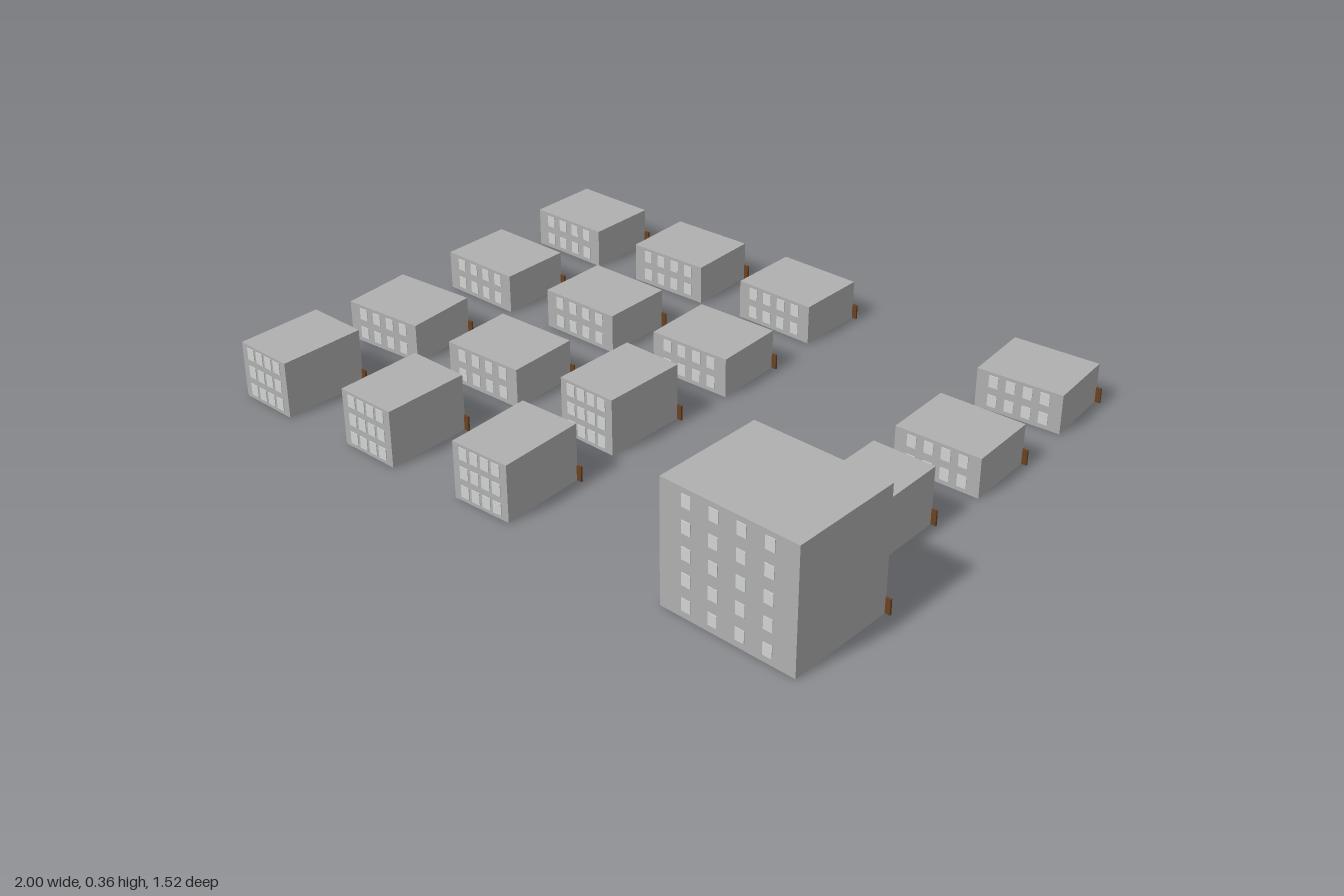
import * as THREE from 'three';

const wall = new THREE.MeshStandardMaterial({ name: 'concrete grey', color: 0xb0b0b0 });
const glass = new THREE.MeshStandardMaterial({ name: 'window light grey', color: 0xd2d4d4 });
const wood = new THREE.MeshStandardMaterial({ name: 'door brown', color: 0x6b4220 });

// Building kinds: width, height, depth, window rows
const LOW = { name: 'lowHouse', w: 0.26, h: 0.12, d: 0.22, rows: 2 };
const MID = { name: 'midHouse', w: 0.187, h: 0.17, d: 0.26, rows: 3 };
const TOWER = { name: 'tower', w: 0.41, h: 0.36, d: 0.333, rows: 5 };
const COLUMNS = 4;

function box(name, material, w, h, d, x, y, z) {
  const mesh = new THREE.Mesh(new THREE.BoxGeometry(w, h, d), material);
  mesh.name = name;
  mesh.position.set(x, y, z);
  return mesh;
}

function building({ name, w, h, d, rows }) {
  const group = new THREE.Group();
  group.name = name;
  group.add(box('walls', wall, w, h, d, 0, h / 2, 0));

  // Grid of window panes on the front and back walls
  for (const side of [1, -1]) {
    for (let r = 0; r < rows; r++) {
      for (let c = 1; c <= COLUMNS; c++) {
        const x = w * (c / (COLUMNS + 1) - 0.5);
        const y = (h * (r + 0.53)) / rows;
        group.add(box('window', glass, 0.028, 0.036, 0.004, x, y, side * d / 2));
      }
    }
  }

  // Thin door on the back wall, centred on the left corner
  group.add(box('door', wood, 0.03, 0.045, 0.006, w / 2, 0.0225, -d / 2));
  return group;
}

export function createModel() {
  const town = new THREE.Group();
  town.name = 'town';
  const xs = [-0.866, -0.46, -0.05, 0.77];
  const zs = [-0.647, -0.24, 0.17, 0.58];

  // Kind and slight turn of each building, row by row from the back
  const plan = [
    [[LOW, -0.035], [LOW, 0], [LOW, -0.04], [LOW, 0.045]],
    [[LOW, -0.035], [LOW, -0.025], [LOW, 0], [LOW, 0]],
    [[LOW, 0.045], [LOW, 0], [MID, -0.045], [MID, -0.032]],
    [[MID, -0.045], [MID, -0.035], [MID, 0], [TOWER, -0.055]],
  ];
  plan.forEach((row, j) => row.forEach(([kind, turn], i) => {
    const b = building(kind);
    b.position.set(xs[i], 0, zs[j]);
    b.rotation.y = turn;
    town.add(b);
  }));
  return town;
}
